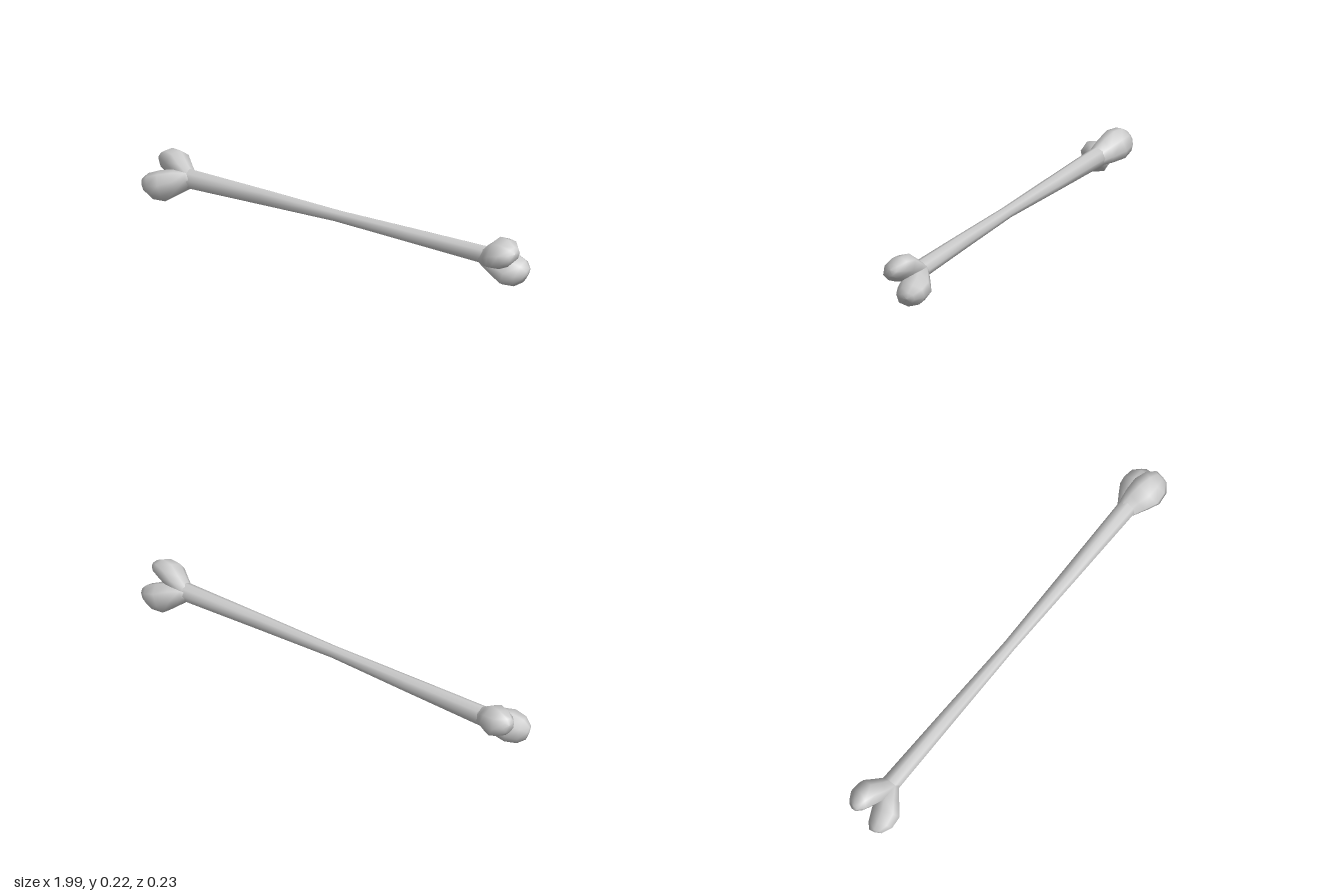
import * as THREE from 'three';

const SIDES = 8;

// Skin a row of rings; each ring is { c: centre, u, w: half-axis vectors }
function loft(name, rings, material) {
  const pos = [], index = [];
  for (const { c, u, w } of rings) {
    for (let j = 0; j < SIDES; j++) {
      const a = (j / SIDES) * Math.PI * 2;
      const p = c.clone().addScaledVector(u, Math.cos(a)).addScaledVector(w, Math.sin(a));
      pos.push(p.x, p.y, p.z);
    }
  }
  for (let i = 0; i < rings.length - 1; i++) {
    for (let j = 0; j < SIDES; j++) {
      const k = (j + 1) % SIDES, a = i * SIDES, b = a + SIDES;
      index.push(a + j, a + k, b + j, a + k, b + k, b + j);
    }
  }
  const geometry = new THREE.BufferGeometry();
  geometry.setAttribute('position', new THREE.Float32BufferAttribute(pos, 3));
  geometry.setIndex(index);
  geometry.computeVertexNormals();
  const mesh = new THREE.Mesh(geometry, material);
  mesh.name = name;
  return mesh;
}

// Knob stations: distance along the bone, outward shift, radius scale
const KNOB = [
  [-0.03, 0, 0.4], [0, 0.003, 0.6], [0.045, 0.024, 0.82], [0.095, 0.054, 1],
  [0.145, 0.067, 0.84], [0.178, 0.069, 0.45], [0.183, 0.07, 0],
];

// A rounded knob that leaves the shaft end and leans outward
function knob(name, { side, y, z, out, ru, rw, reach = 1, spread = 1 }, material) {
  const along = new THREE.Vector3(side, 0, 0);
  const o = new THREE.Vector3(0, out[0], out[1]).normalize();
  const w = new THREE.Vector3().crossVectors(along, o);
  const tilt = 0.44;
  const u = o.clone().multiplyScalar(Math.cos(tilt)).addScaledVector(along, -Math.sin(tilt));
  const rings = KNOB.map(([s, shift, k]) => ({
    c: new THREE.Vector3(side * (0.8 + s * reach), y, z).addScaledVector(o, shift * spread),
    u: u.clone().multiplyScalar(ru * k),
    w: w.clone().multiplyScalar(rw * k),
  }));
  return loft(name, rings, material);
}

export function createModel() {
  const group = new THREE.Group();
  group.name = 'bone';
  const material = new THREE.MeshStandardMaterial({ color: 0xcccccc });

  // Slender shaft, thinnest in the middle: x, y, z, half height, half depth
  const shaft = [
    [-0.9, 0.12, -0.01, 0, 0], [-0.88, 0.12, -0.01, 0.03, 0.03],
    [-0.82, 0.12, -0.014, 0.045, 0.041], [-0.4, 0.126, -0.01, 0.036, 0.034],
    [0, 0.131, -0.005, 0.026, 0.027], [0.4, 0.131, -0.004, 0.033, 0.034],
    [0.81, 0.13, -0.004, 0.04, 0.041], [0.87, 0.127, -0.004, 0.03, 0.03],
    [0.89, 0.125, -0.004, 0, 0],
  ].map(([x, y, z, h, d]) => ({
    c: new THREE.Vector3(x, y, z),
    u: new THREE.Vector3(0, h, 0),
    w: new THREE.Vector3(0, 0, d),
  }));
  group.add(loft('shaft', shaft, material));

  // Two knobs fork from each end, each pair twisted its own way
  const left = { side: 1, y: 0.125, z: -0.005 };
  const right = { side: -1, y: 0.12, z: -0.01 };
  group.add(
    knob('leftUpperKnob', { ...left, out: [0.82, 0.57], ru: 0.056, rw: 0.08 }, material),
    knob('leftLowerKnob', { ...left, out: [-0.82, -0.57], ru: 0.066, rw: 0.08, reach: 1.02 }, material),
    knob('rightUpperKnob', { ...right, out: [0.62, -0.78], ru: 0.06, rw: 0.07, spread: 1.05 }, material),
    knob('rightLowerKnob', { ...right, out: [-0.56, 0.83], ru: 0.062, rw: 0.072, reach: 1.04, spread: 1.22 }, material),
  );
  return group;
}
